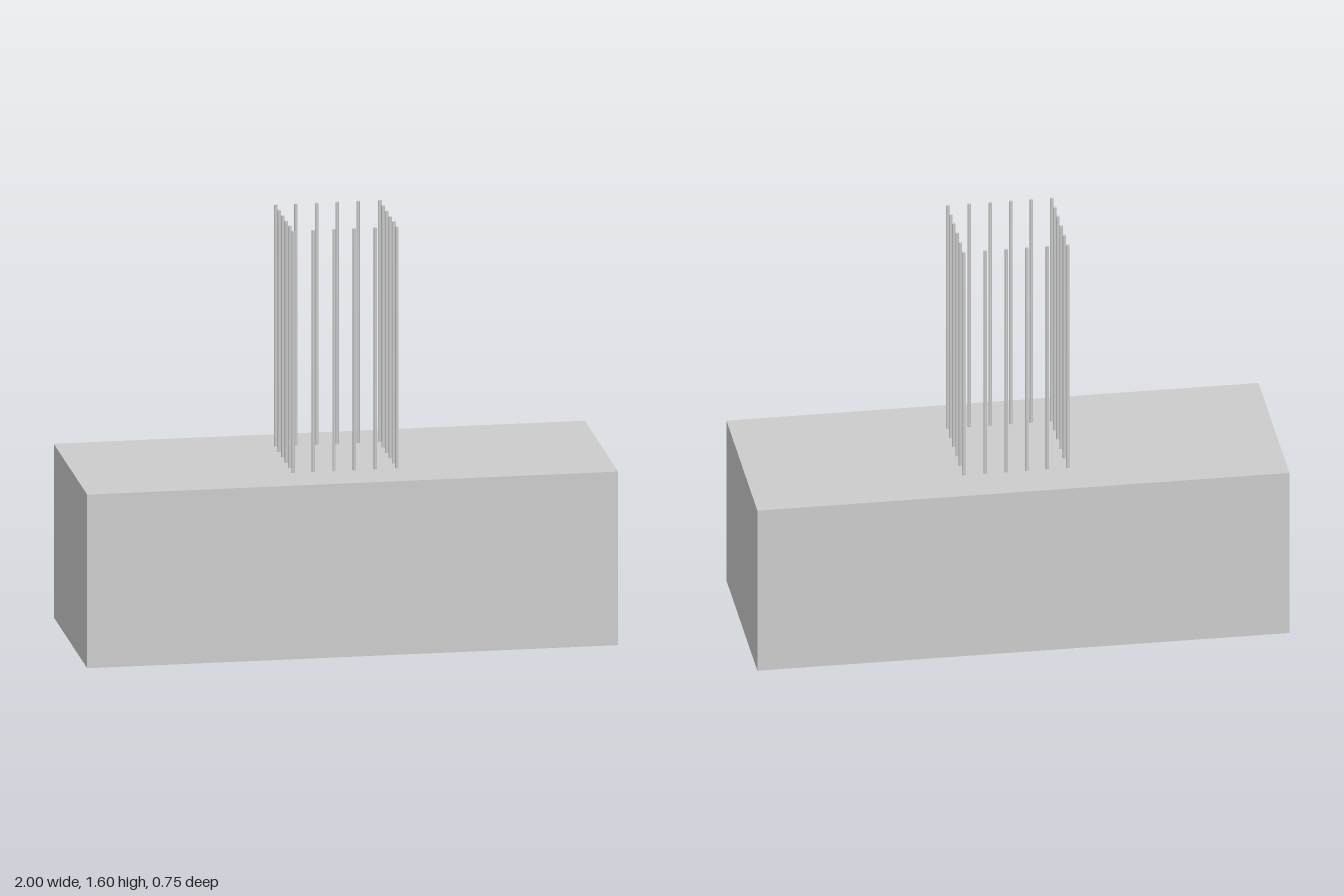
import * as THREE from 'three';

export function createModel() {
  const model = new THREE.Group();
  const material = new THREE.MeshStandardMaterial({ color: 0xcccccc });

  // Solid rectangular footing
  const height = 0.667;
  const footing = new THREE.Mesh(new THREE.BoxGeometry(2, height, 0.745), material);
  footing.name = 'footing';
  footing.position.y = height / 2;
  model.add(footing);

  // Square ring of starter bars standing on the footing, six per side
  const bars = new THREE.Group();
  bars.name = 'starterBars';
  const top = 1.595;
  const barGeometry = new THREE.CylinderGeometry(0.0065, 0.0065, top - height, 12);
  const xs = [-0.193, -0.117, -0.039, 0.038, 0.117, 0.198];
  const zs = [-0.201, -0.121, -0.042, 0.037, 0.111, 0.186];
  xs.forEach((x, i) => zs.forEach((z, j) => {
    if (i % 5 !== 0 && j % 5 !== 0) return;
    const bar = new THREE.Mesh(barGeometry, material);
    bar.name = 'starterBar';
    bar.position.set(x, (top + height) / 2, z);
    bars.add(bar);
  }));
  model.add(bars);

  return model;
}
